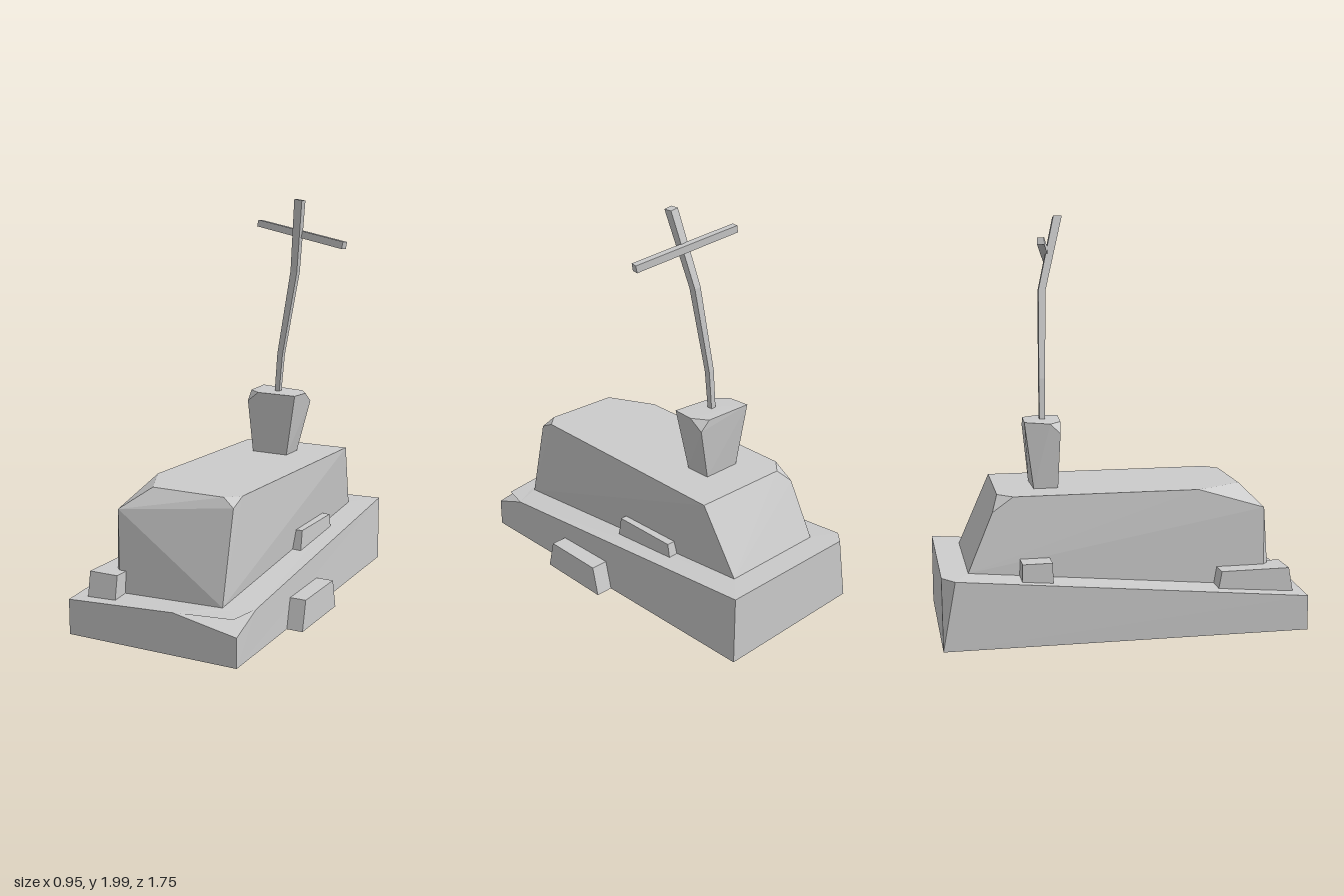
import * as THREE from 'three';
import { ConvexGeometry } from 'three/addons/geometries/ConvexGeometry.js';

const material = new THREE.MeshStandardMaterial({ color: 0xcccccc, flatShading: true, side: THREE.DoubleSide });

function part(parent, name, geometry) {
  const mesh = new THREE.Mesh(geometry, material);
  mesh.name = name;
  parent.add(mesh);
}

// Flat polygons, each given as an ordered list of corner names, cut into fans
function faceted(corners, faces) {
  const pos = [];
  for (const face of faces) {
    const p = face.split(' ').map((k) => corners[k]);
    for (let i = 1; i < p.length - 1; i++) pos.push(...p[0], ...p[i], ...p[i + 1]);
  }
  const g = new THREE.BufferGeometry();
  g.setAttribute('position', new THREE.Float32BufferAttribute(pos, 3));
  g.computeVertexNormals();
  return g;
}

const hull = (points) => new ConvexGeometry(points.map((p) => new THREE.Vector3(...p)));

// Block that narrows along z towards its top
function block(x0, x1, y0, y1, z0, z1, taper) {
  const pts = [];
  for (const x of [x0, x1]) {
    pts.push([x, y0, z0], [x, y0, z1], [x, y1, z0 + taper], [x, y1, z1 - taper]);
  }
  return hull(pts);
}

// Square bar through a list of [x, y, z, half width]; a and b span the section
function bar(path, a, b) {
  const corners = {}, faces = [];
  const signs = [[-1, -1], [1, -1], [1, 1], [-1, 1]];
  path.forEach(([x, y, z, r], i) => signs.forEach(([s, t], j) => {
    corners[`${i},${j}`] = [0, 1, 2].map((k) => [x, y, z][k] + r * (s * a[k] + t * b[k]));
  }));
  for (let i = 0; i < path.length - 1; i++) {
    for (let j = 0; j < 4; j++) {
      const k = (j + 1) % 4;
      faces.push(`${i},${j} ${i},${k} ${i + 1},${k} ${i + 1},${j}`);
    }
  }
  const n = path.length - 1;
  faces.push('0,3 0,2 0,1 0,0', `${n},0 ${n},1 ${n},2 ${n},3`);
  return faceted(corners, faces);
}

export function createModel() {
  const model = new THREE.Group();
  model.name = 'graveMound';

  const v = {
    // plinth foot
    b0: [-0.48, 0, 0.875], b1: [0.4, 0, 0.875], b2: [0.37, 0, -0.88], b3: [-0.44, 0, -0.88],
    // plinth rim, with two broken corners
    o0: [-0.48, 0.17, 0.875], o1: [0.08, 0.2, 0.875], o2: [0.36, 0.2, 0.83], o3: [0.4, 0.21, 0.69],
    o4: [0.37, 0.345, -0.88], o5: [-0.38, 0.335, -0.88], o6: [-0.44, 0.33, -0.82], c: [0.4, 0.14, 0.875],
    // mound foot
    m0: [-0.325, 0.19, 0.7], m1: [-0.29, 0.19, 0.735], m2: [0.26, 0.21, 0.745],
    m3: [0.24, 0.335, -0.75], m4: [-0.31, 0.33, -0.75],
    // mound top and chipped corners
    A: [-0.3, 0.68, 0.37], B: [-0.18, 0.68, 0.61], C: [-0.315, 0.58, 0.7],
    D: [0.2, 0.68, 0.62], E: [0.265, 0.68, 0.56], F: [0.26, 0.64, 0.64],
    H: [0.285, 0.68, -0.59], I: [-0.21, 0.68, -0.6], G: [-0.285, 0.61, -0.63], J: [-0.28, 0.68, -0.53],
  };

  part(model, 'plinth', faceted(v, [
    'b0 b1 c o1 o0', 'b1 b2 o4 o3 c', 'b2 b3 o5 o4', 'b3 b0 o0 o6', 'b3 o6 o5', 'o1 c o3 o2',
    'o0 o1 m2 m1', 'o0 m1 m0', 'o1 o2 o3 m2', 'o3 o4 m3 m2', 'o4 o5 m4 m3', 'o5 o6 m4', 'o6 o0 m0 m4',
  ]));
  part(model, 'mound', faceted(v, [
    'A B D E H I J', 'A C B', 'D F E', 'I G J', 'm1 m2 C', 'C m2 F D B', 'm0 m1 C',
    'm2 m3 H E F', 'm3 m4 G I H', 'm4 m0 C A J G',
  ]));

  // Pedestal widening upwards, with two chipped top corners
  part(model, 'pedestal', hull([
    [-0.12, 0.68, -0.41], [0.08, 0.68, -0.41], [0.08, 0.68, -0.28], [-0.12, 0.68, -0.29],
    [-0.14, 1.01, -0.455], [0.1, 1, -0.435], [0.15, 1, -0.36], [0.14, 1, -0.25],
    [-0.08, 1, -0.27], [-0.15, 1, -0.33], [0.147, 0.95, -0.43], [-0.145, 0.95, -0.28],
  ]));

  // Leaning cross
  const cross = new THREE.Group();
  cross.name = 'cross';
  part(cross, 'crossPost', bar(
    [[-0.005, 0.98, -0.35, 0.013], [0.015, 1.2, -0.347, 0.015], [0.1, 1.63, -0.33, 0.018], [0.165, 1.99, -0.24, 0.021]],
    [0, 0, 1], [0.98, -0.18, 0]));
  part(cross, 'crossBeam', bar(
    [[-0.12, 1.87, -0.365, 0.017], [0.4, 1.77, -0.255, 0.018]],
    [0.19, 0.98, 0], [-0.2, 0.04, 0.98]));
  model.add(cross);

  // Loose stones around the mound
  const stones = new THREE.Group();
  stones.name = 'stones';
  part(stones, 'frontStone', block(-0.41, -0.26, 0.13, 0.295, 0.43, 0.83, 0.03));
  part(stones, 'backStone', block(-0.41, -0.28, 0.22, 0.385, -0.51, -0.36, 0.004));
  part(stones, 'sideStone', block(0.15, 0.295, 0.2, 0.37, -0.39, 0.01, 0.03));
  part(stones, 'groundStone', block(0.31, 0.472, 0, 0.145, -0.035, 0.355, 0.035));
  model.add(stones);

  return model;
}
